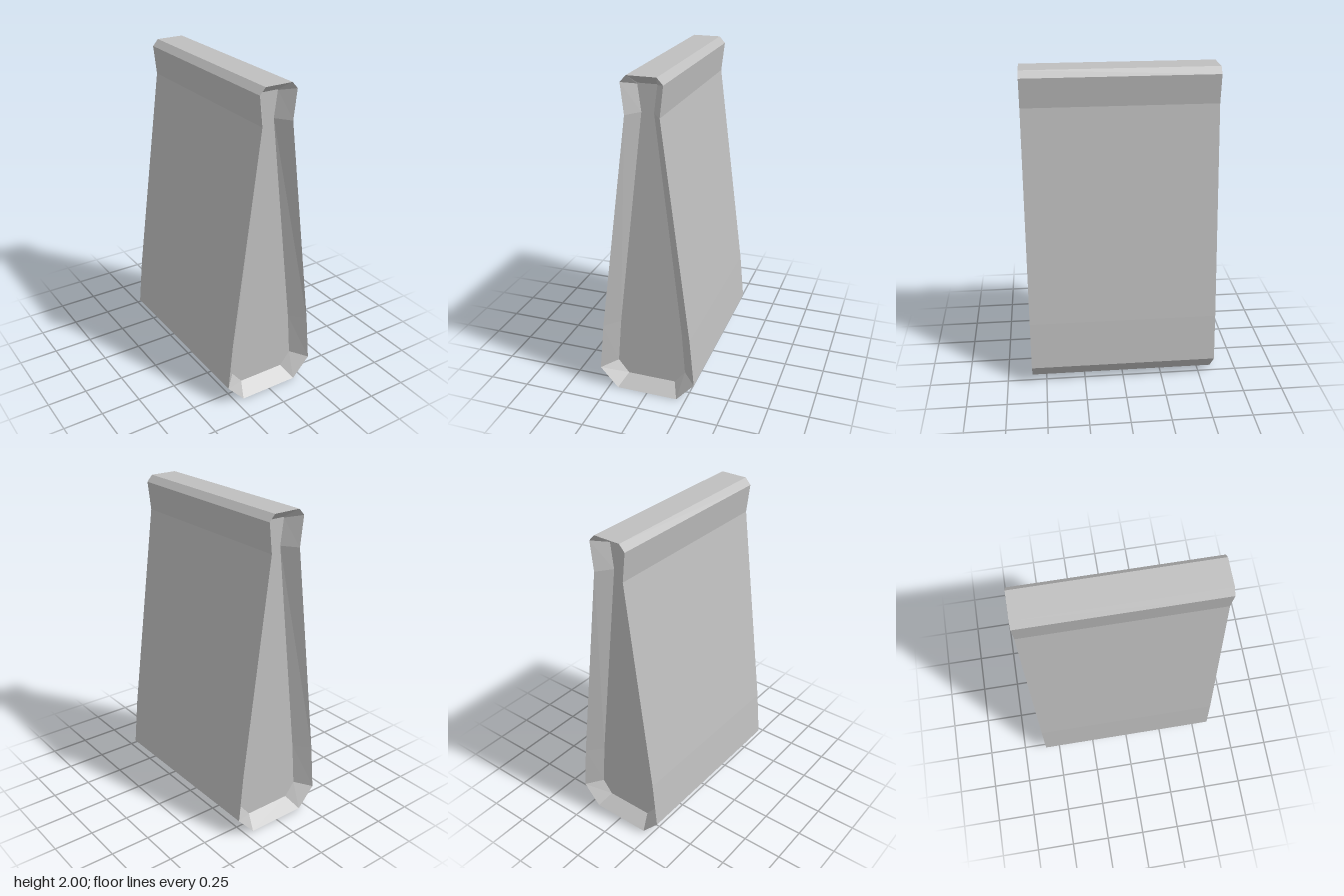
import * as THREE from 'three';

export function createModel() {
  const group = new THREE.Group();
  const grey = new THREE.MeshStandardMaterial({ color: 0xbfbfbf });
  grey.name = 'grey';

  const halfLength = 0.592, recess = 0.09;

  // Right half of each outline, bottom to top; mirrored into a counter-clockwise loop
  const outline = (half) => [...half, ...half.slice().reverse().map(([x, y]) => [-x, y])];
  const outer = outline([[0.193, 0], [0.306, 0.125], [0.277, 0.43], [0.102, 1.78], [0.123, 1.96], [0.087, 2]]);
  const inner = outline([[0.153, 0.062], [0.22, 0.145], [0.197, 0.43], [0.037, 1.78], [0.058, 1.936], [0.055, 1.941]]);

  // Flat-faced band joining loop a at depth za to loop b at depth zb
  function band(a, za, b, zb) {
    const positions = [];
    a.forEach((p, i) => {
      const j = (i + 1) % a.length;
      const p0 = [...p, za], p1 = [...a[j], za], q0 = [...b[i], zb], q1 = [...b[j], zb];
      positions.push(...p0, ...p1, ...q1, ...p0, ...q1, ...q0);
    });
    const geometry = new THREE.BufferGeometry();
    geometry.setAttribute('position', new THREE.Float32BufferAttribute(positions, 3));
    geometry.computeVertexNormals();
    return geometry;
  }

  function add(name, geometry, parent) {
    const mesh = new THREE.Mesh(geometry, grey);
    mesh.name = name;
    parent.add(mesh);
  }

  // Long outer shell: sides, top and underside
  add('shell', band(outer, -halfLength, outer, halfLength).scale(1, 1, 1), group);
  flipIfInward(group.children[0].geometry);

  // Sunken panel with a sloping rim at each end
  const panel = new THREE.ShapeGeometry(new THREE.Shape(inner.map(([x, y]) => new THREE.Vector2(x, y))));
  panel.translate(0, 0, halfLength - recess);
  const rim = band(outer, halfLength, inner, halfLength - recess);
  ['front', 'back'].forEach((side, i) => {
    const end = new THREE.Group();
    end.name = side + 'End';
    end.rotation.y = i * Math.PI;
    add(side + 'Rim', rim, end);
    add(side + 'Panel', panel, end);
    group.add(end);
  });
  return group;
}

// Reverses the winding when the first face (the underside) points upward
function flipIfInward(geometry) {
  if (geometry.attributes.normal.getY(0) < 0) return;
  const index = [];
  for (let i = 0; i < geometry.attributes.position.count; i += 3) index.push(i, i + 2, i + 1);
  geometry.setIndex(index);
  geometry.computeVertexNormals();
}
